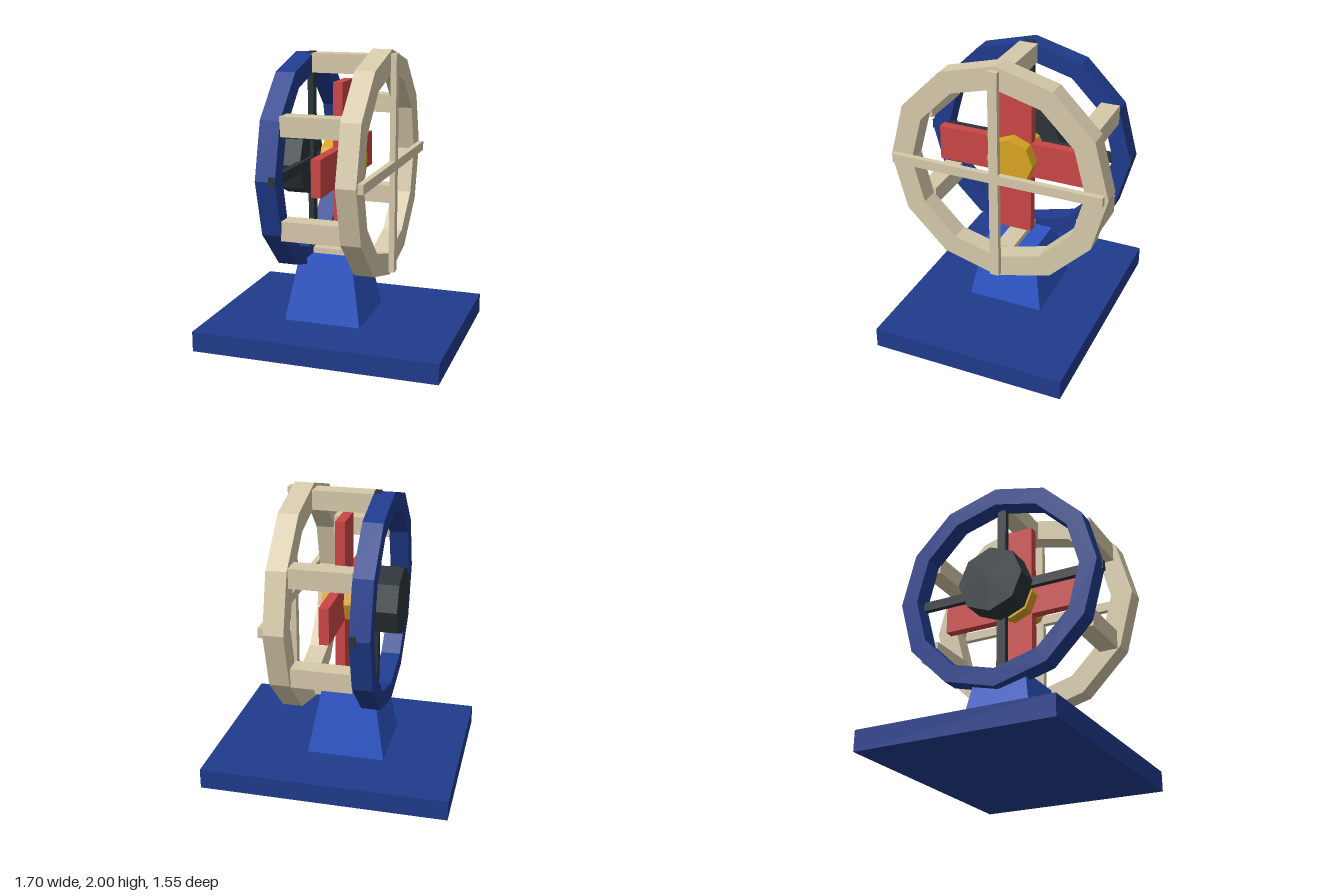
import * as THREE from 'three';

const AXLE_Y = 1.23;

function material(name, color) {
  const m = new THREE.MeshStandardMaterial({ color });
  m.name = name;
  m.flatShading = true;
  return m;
}

// Twelve-sided ring around the x axis, with corners at the top and sides
function ringGeometry(outer, inner, width) {
  const polygon = (r) => Array.from({ length: 12 }, (_, i) => {
    const a = (i * Math.PI) / 6;
    return new THREE.Vector2(r * Math.cos(a), r * Math.sin(a));
  });
  const shape = new THREE.Shape(polygon(outer));
  shape.holes.push(new THREE.Path(polygon(inner)));
  return new THREE.ExtrudeGeometry(shape, { depth: width, bevelEnabled: false })
    .translate(0, 0, -width / 2)
    .rotateY(Math.PI / 2);
}

export function createModel() {
  const navy = material('navy', 0x1f3b8c);
  const blue = material('blue', 0x2d55c6);
  const cream = material('cream', 0xd6c9aa);
  const red = material('red', 0xcc4646);
  const gold = material('gold', 0xd9a522);
  const charcoal = material('charcoal', 0x2b3439);

  const model = new THREE.Group();
  model.name = 'wheelOnStand';

  const add = (parent, name, geometry, mat, x = 0, y = 0, z = 0) => {
    const mesh = new THREE.Mesh(geometry, mat);
    mesh.name = name;
    mesh.position.set(x, y, z);
    parent.add(mesh);
    return mesh;
  };
  const box = (parent, name, mat, [w, h, d], x, y, z) =>
    add(parent, name, new THREE.BoxGeometry(w, h, d), mat, x, y, z);

  // Base slab and tapered pedestal
  box(model, 'base', navy, [1.7, 0.14, 1.36], 0, 0.07, 0);
  const taper = new THREE.BoxGeometry(0.54, 0.44, 0.54);
  const p = taper.attributes.position;
  for (let i = 0; i < p.count; i++) {
    if (p.getY(i) > 0) {
      p.setX(i, Math.sign(p.getX(i)) * 0.19);
      p.setZ(i, Math.sign(p.getZ(i)) * 0.19);
    }
  }
  taper.computeVertexNormals();
  add(model, 'pedestal', taper, blue, -0.07, 0.36, 0);

  // Everything on the wheel is placed around the axle
  const wheel = new THREE.Group();
  wheel.name = 'wheel';
  wheel.position.y = AXLE_Y;
  model.add(wheel);

  add(wheel, 'rightRing', ringGeometry(0.745, 0.62, 0.135), navy, -0.27);
  add(wheel, 'leftRing', ringGeometry(0.775, 0.62, 0.135), cream, 0.268);

  // Six level bars joining the rings
  for (let i = 0; i < 6; i++) {
    const a = (i * Math.PI) / 3;
    box(wheel, 'crossBar', cream, [0.41, 0.13, 0.13],
      0, 0.675 * Math.cos(a), 0.675 * Math.sin(a));
  }

  // Crossed spokes on each ring: a full upright and two level halves
  const spokes = (name, mat, x) => {
    const group = new THREE.Group();
    group.name = name;
    wheel.add(group);
    box(group, 'uprightSpoke', mat, [0.04, 1.496, 0.065], x, 0, 0);
    for (const s of [-1, 1]) {
      box(group, 'levelSpoke', mat, [0.04, 0.065, 0.7155], x, 0, s * 0.39025);
    }
  };
  spokes('leftSpokes', cream, 0.355);
  spokes('rightSpokes', charcoal, -0.226);

  // Four wide blades forming a cross
  const blades = new THREE.Group();
  blades.name = 'blades';
  wheel.add(blades);
  box(blades, 'uprightBlade', red, [0.066, 1.12, 0.25], 0, 0, 0);
  for (const s of [-1, 1]) {
    box(blades, 'levelBlade', red, [0.066, 0.25, 0.435], 0, 0, s * 0.3425);
  }

  // Eight-sided hubs lying along the axle
  const hub = (name, mat, radius, length, x) =>
    add(wheel, name,
      new THREE.CylinderGeometry(radius, radius, length, 8).rotateZ(Math.PI / 2), mat, x);
  hub('centreHub', gold, 0.17, 0.238, 0);
  hub('motorHub', charcoal, 0.239, 0.175, -0.32);

  return model;
}
